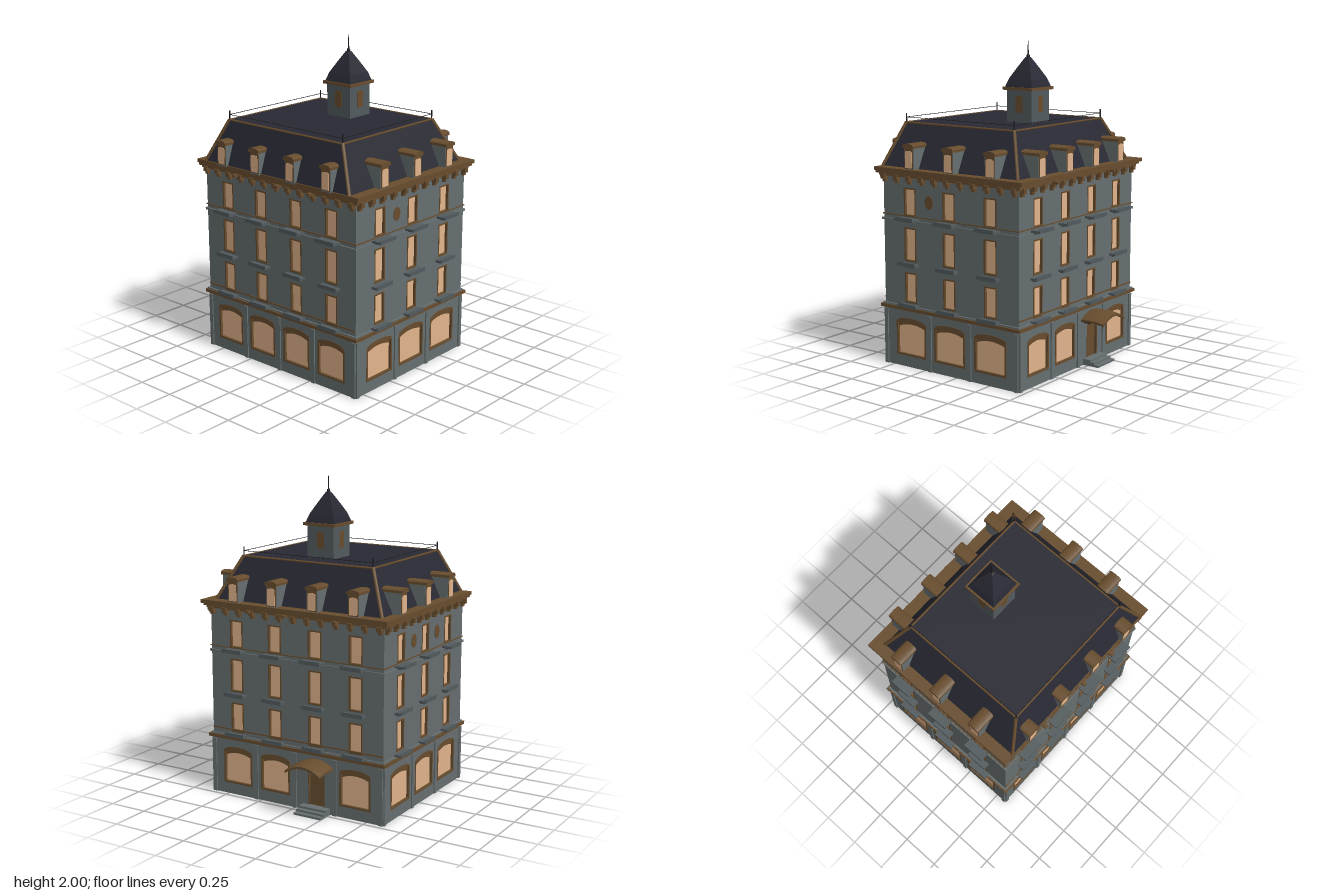
import * as THREE from 'three';

const mat = (name, color) => {
  const m = new THREE.MeshStandardMaterial({ color });
  m.name = name;
  return m;
};

export function createModel() {
  const stone = mat('grey stone', 0x676f70);
  const darkStone = mat('dark stone', 0x535b5e);
  const bronze = mat('bronze trim', 0x684d2e);
  const slate = mat('dark slate', 0x292934);
  const glow = mat('lit glass', 0xe2b48c);
  const iron = mat('black iron', 0x1c1c20);

  const model = new THREE.Group();
  model.name = 'mansardBuilding';
  const CX = -0.053, HW = 0.515, HD = 0.612;

  const add = (parent, name, geo, material, x = 0, y = 0, z = 0) => {
    const m = new THREE.Mesh(geo, material);
    m.name = name;
    m.position.set(x, y, z);
    parent.add(m);
    return m;
  };
  const box = (parent, name, material, w, h, d, x, y, z) =>
    add(parent, name, new THREE.BoxGeometry(w, h, d), material, x, y, z);
  const extrude = (shape, depth, steps = 1) =>
    new THREE.ExtrudeGeometry(shape, { depth, steps, bevelEnabled: false, curveSegments: 10 });

  // Rectangle whose top edge rises to a shallow arch
  const arched = (Type, u, w, y0, y1, rise = 0) => {
    const s = new Type();
    s.moveTo(u - w / 2, y0);
    s.lineTo(u + w / 2, y0);
    s.lineTo(u + w / 2, y1 - rise);
    if (rise) s.bezierCurveTo(u + w * 0.38, y1, u - w * 0.38, y1, u - w / 2, y1 - rise);
    else s.lineTo(u - w / 2, y1);
    s.closePath();
    return s;
  };

  // Wall panel with openings; its outer face lies at local z = out
  const wall = (parent, name, halfWidth, y0, y1, openings, out) => {
    const s = arched(THREE.Shape, 0, halfWidth * 2, y0, y1);
    openings.forEach(o => s.holes.push(arched(THREE.Path, o.u, o.w, o.y0, o.y1, o.rise)));
    add(parent, name, extrude(s, 0.03), stone, 0, 0, out - 0.03);
    openings.forEach(o => {
      add(parent, o.door ? 'door' : 'windowPane', extrude(arched(THREE.Shape, o.u, o.w, o.y0, o.y1, o.rise), 0.008),
        o.door ? bronze : glow, 0, 0, out - 0.022);
      const ring = arched(THREE.Shape, o.u, o.w, o.y0, o.y1, o.rise);
      ring.holes.push(arched(THREE.Path, o.u, o.w - o.frame * 2, o.y0 + o.frame, o.y1 - o.frame, o.rise));
      add(parent, 'windowFrame', extrude(ring, 0.016), bronze, 0, 0, out - 0.014);
    });
  };

  const floors = [
    { y0: 0.41, y1: 0.60, sill: 0.395, reach: 0.046 },
    { y0: 0.67, y1: 0.88, sill: 0.653, reach: 0.046 },
    { y0: 0.95, y1: 1.125, sill: 0.935, reach: 0.066 },
  ];

  // Small roof window: body, lit pane, frame and curved cap
  const dormer = (parent, u, out) => {
    const d = new THREE.Group();
    d.name = 'dormer';
    d.position.set(u, 0, out);
    parent.add(d);
    box(d, 'dormerBody', stone, 0.074, 0.14, 0.13, 0, 1.305, -0.065);
    box(d, 'dormerFrame', bronze, 0.066, 0.125, 0.004, 0, 1.308, 0.001);
    add(d, 'dormerPane', extrude(arched(THREE.Shape, 0, 0.054, 1.25, 1.358, 0.012), 0.003), glow, 0, 0, 0.002);
    add(d, 'dormerCap', extrude(arched(THREE.Shape, 0, 0.084, 1.37, 1.402, 0.016), 0.148), bronze, 0, 0, -0.137);
  };

  // One complete facade, built facing local +z
  const facade = (name, angle, x, z, half, bays, opt) => {
    const g = new THREE.Group();
    g.name = name;
    g.position.set(x, 0, z);
    g.rotation.y = angle;
    model.add(g);
    // Ground floor with shop windows and optional door
    const shops = bays.map((u, i) => i === opt.doorBay
      ? { u: 0.155, w: 0.115, y0: 0.03, y1: 0.26, rise: 0.015, frame: 0.007, door: true }
      : { u, w: opt.shopW, y0: 0.07, y1: 0.32, rise: 0.035, frame: 0.012 });
    wall(g, 'groundWall', half + 0.004, 0, 0.365, shops, 0.004);
    shops.filter(o => !o.door).forEach(o => {
      const v = new THREE.Shape();
      v.moveTo(o.u - o.w / 2, 0.245);
      v.quadraticCurveTo(o.u, 0.298, o.u + o.w / 2, 0.245);
      v.lineTo(o.u + o.w / 2, 0.285);
      v.bezierCurveTo(o.u + o.w * 0.38, 0.32, o.u - o.w * 0.38, 0.32, o.u - o.w / 2, 0.285);
      add(g, 'shopValance', extrude(v, 0.01), bronze, 0, 0, -0.013);
    });
    const piers = [-half + 0.012, half - 0.012];
    for (let i = 1; i < bays.length; i++) piers.push((bays[i] + bays[i - 1]) / 2);
    piers.forEach(u => box(g, 'pier', stone, 0.026, 0.35, 0.016, u, 0.175, 0.004));
    // Upper floors with shallow balconies
    const openings = floors.flatMap(f => bays.map(u => ({ u, w: 0.094, y0: f.y0, y1: f.y1, frame: 0.009 })));
    wall(g, 'upperWall', half, 0.365, 1.22, openings, 0);
    floors.forEach(f => bays.forEach(u => {
      box(g, 'balconySlab', darkStone, 0.143, 0.014, f.reach, u, f.sill, f.reach / 2);
      box(g, 'balconyLip', darkStone, 0.143, 0.01, 0.004, u, f.sill + 0.012, f.reach - 0.002);
      box(g, 'balconyCorbel', darkStone, 0.11, 0.01, f.reach * 0.5, u, f.sill - 0.012, f.reach * 0.25);
    }));
    // Brackets beneath the main cornice
    const n = opt.brackets;
    for (let i = 0; i < n; i++) {
      const u = (i / (n - 1) - 0.5) * (half * 2 - 0.04);
      box(g, 'corniceBracket', bronze, 0.03, 0.03, 0.034, u, 1.185, 0.016);
      box(g, 'corniceBracketFoot', bronze, 0.024, 0.022, 0.02, u, 1.162, 0.009);
    }
    (opt.scrolls || []).forEach(u => box(g, 'corniceScroll', bronze, 0.024, 0.016, 0.062, u, 1.198, 0.031));
    // Wall medallions
    (opt.medallions || []).forEach(u => {
      const m = add(g, 'medallion', new THREE.CylinderGeometry(0.031, 0.031, 0.008, 14), bronze, u, 1.05, 0);
      m.rotation.x = Math.PI / 2;
      m.scale.z = 1.35;
    });
    if (opt.sillLine) box(g, 'sillLine', bronze, half * 2, 0.008, 0.01, 0, 0.424, 0);
    bays.forEach(u => dormer(g, u + (opt.dormerShift || 0), opt.dormerOut));
    return g;
  };

  const three = [-0.304, 0, 0.31], backThree = [-0.31, 0, 0.304];
  const four = [-0.424, -0.143, 0.143, 0.424];
  facade('frontFacade', 0, CX, HD, HW, three,
    { shopW: 0.238, brackets: 11, dormerOut: 0.02, dormerShift: 0.015, medallions: [-0.152] });
  facade('backFacade', Math.PI, CX, -HD, HW, backThree,
    { shopW: 0.238, brackets: 11, dormerOut: 0.022, dormerShift: -0.015, medallions: [-0.152, 0.152] });
  const entry = facade('entranceFacade', Math.PI / 2, CX + HW, 0, HD, four,
    { shopW: 0.214, brackets: 13, dormerOut: 0.028, doorBay: 2, sillLine: true, scrolls: [-0.3, -0.045, 0.31] });
  facade('plainFacade', -Math.PI / 2, CX - HW, 0, HD, four,
    { shopW: 0.214, brackets: 13, dormerOut: 0.045, sillLine: true, scrolls: [-0.31, 0.045, 0.3] });

  // Entrance canopy, arched across and drooping outward
  const arc = new THREE.Shape();
  arc.moveTo(-0.122, 0.286);
  arc.quadraticCurveTo(0, 0.372, 0.122, 0.286);
  arc.lineTo(0.122, 0.3);
  arc.quadraticCurveTo(0, 0.386, -0.122, 0.3);
  const canopy = extrude(arc, 0.168, 6);
  const cp = canopy.attributes.position;
  for (let i = 0; i < cp.count; i++) cp.setY(i, cp.getY(i) - 1.2 * (cp.getZ(i) - 0.07) ** 2);
  canopy.computeVertexNormals();
  add(entry, 'canopy', canopy, bronze, 0.155, 0, 0);
  [-1, 1].forEach(s => box(entry, 'canopyBracket', iron, 0.008, 0.03, 0.05, 0.155 + s * 0.09, 0.285, 0.025));
  // Entrance steps
  [[0.115, 0.013], [0.085, 0.026], [0.055, 0.039]].forEach(([d, h]) =>
    box(entry, 'step', stone, 0.19, h, d, 0.155, h / 2, d / 2));

  // Horizontal slabs across the whole body
  const band = (name, material, y, h, out, shift = 0) =>
    box(model, name, material, (HW + out) * 2, h, (HD + out) * 2, CX + shift, y, 0);
  band('groundCeiling', darkStone, 0.436, 0.012, -0.026);
  band('corniceLower', bronze, 1.213, 0.016, 0.034);
  band('corniceTop', bronze, 1.231, 0.022, 0.043, 0.006);
  // Open frames around the walls
  const strip = (name, material, y, h, out, t = 0.02) => [-1, 1].forEach(s => {
    box(model, name, material, (HW + out) * 2, h, t, CX, y, s * (HD + out - t / 2));
    box(model, name, material, t, h, (HD + out) * 2, CX + s * (HW + out - t / 2), y, 0);
  });
  strip('groundCornice', bronze, 0.372, 0.02, 0.022, 0.056);
  strip('groundCorniceUpper', stone, 0.386, 0.01, 0.012);
  strip('upperBand', stone, 0.92, 0.014, 0.01);
  strip('upperBandTrim', bronze, 0.951, 0.006, 0.006);
  strip('corniceMoulding', bronze, 1.198, 0.016, 0.02);

  // Mansard roof: a box narrowed toward its top
  const base = { x0: -0.597, x1: 0.437, z0: -0.583, z1: 0.586, y: 1.24 };
  const top = { x0: -0.508, x1: 0.318, z0: -0.455, z1: 0.46, y: 1.505 };
  const roof = new THREE.BoxGeometry(1, 1, 1);
  const p = roof.attributes.position;
  for (let i = 0; i < p.count; i++) {
    const r = p.getY(i) > 0 ? top : base;
    p.setXYZ(i, p.getX(i) > 0 ? r.x1 : r.x0, r.y, p.getZ(i) > 0 ? r.z1 : r.z0);
  }
  roof.computeVertexNormals();
  add(model, 'mansardRoof', roof, slate);

  // Hip ridges, curb and thin roof railing
  const bar = (name, a, b, r, material) => {
    const c = new THREE.LineCurve3(new THREE.Vector3(...a), new THREE.Vector3(...b));
    add(model, name, new THREE.TubeGeometry(c, 1, r, 6), material);
  };
  const keys = [['x0', 'z0'], ['x1', 'z0'], ['x1', 'z1'], ['x0', 'z1']];
  keys.forEach(([kx, kz], i) => {
    const [nx, nz] = keys[(i + 1) % 4];
    bar('hipRidge', [base[kx], 1.24, base[kz]], [top[kx], 1.505, top[kz]], 0.011, bronze);
    bar('roofCurb', [top[kx], 1.502, top[kz]], [top[nx], 1.502, top[nz]], 0.007, bronze);
    bar('roofRail', [top[kx], 1.535, top[kz]], [top[nx], 1.535, top[nz]], 0.0018, iron);
    bar('railPost', [top[kx], 1.5, top[kz]], [top[kx], 1.56, top[kz]], 0.004, iron);
  });

  // Roof turret
  const turret = new THREE.Group();
  turret.name = 'turret';
  turret.position.set(0.078, 0, -0.005);
  model.add(turret);
  box(turret, 'turretBody', darkStone, 0.186, 0.2, 0.186, 0, 1.605, 0);
  box(turret, 'turretCornice', bronze, 0.224, 0.018, 0.224, 0, 1.711, 0);
  for (let i = 0; i < 4; i++) {
    const side = new THREE.Group();
    side.name = 'turretSide';
    side.rotation.y = i * Math.PI / 2;
    turret.add(side);
    add(side, 'turretLouvre', extrude(arched(THREE.Shape, 0, 0.052, 1.565, 1.675, 0.02), 0.003), bronze, 0, 0, 0.092);
  }
  const profile = [[0.101, 1.718], [0.098, 1.73], [0.084, 1.77], [0.06, 1.815], [0.035, 1.86], [0.012, 1.9], [0, 1.906]]
    .map(([r, y]) => new THREE.Vector2(r * Math.SQRT2, y));
  const cap = new THREE.LatheGeometry(profile, 4, Math.PI / 4).toNonIndexed();
  cap.computeVertexNormals();
  add(turret, 'turretRoof', cap, slate);
  add(turret, 'finialBall', new THREE.SphereGeometry(0.011, 10, 8), iron, 0, 1.908, 0);
  add(turret, 'finialSpike', new THREE.CylinderGeometry(0.0015, 0.005, 0.09, 8), iron, 0, 1.955, 0);

  return model;
}
